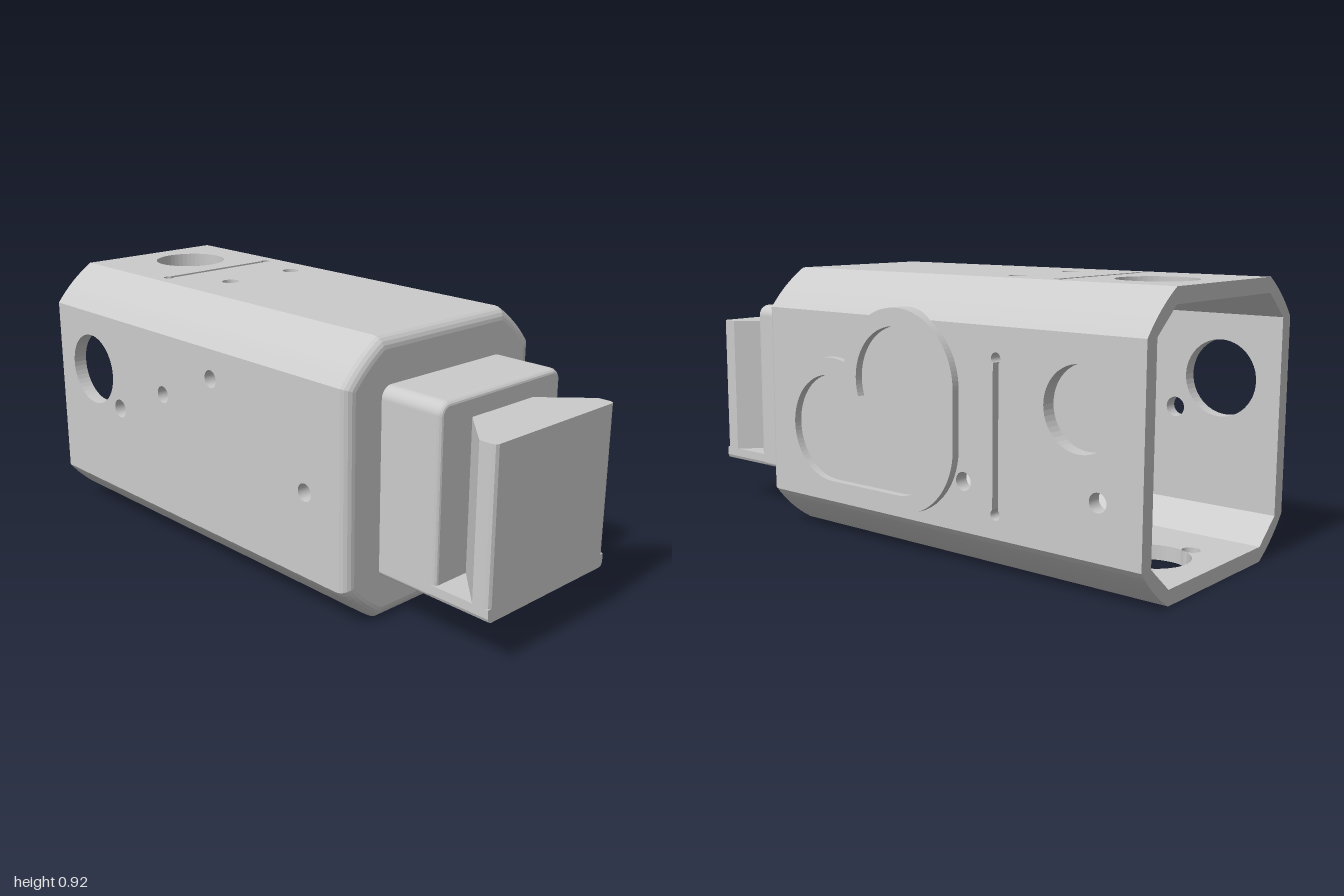
import * as THREE from 'three';

const grey = new THREE.MeshStandardMaterial({ color: 0xcccccc, side: THREE.DoubleSide });

const WALL = 0.05, BACK_END = -1, BEVEL = 0.04, FRONT_END = 0.565;
const TUBE_END = FRONT_END - BEVEL;
const CZ = 0.013, CY = 0.46;            // centre of the housing section
const HW = 0.43, HH = 0.46;             // half width and half height
const FW = 0.282, FH = 0.327;           // half extents of the flat faces

const extrude = (shape, depth, opts = {}) =>
  new THREE.ExtrudeGeometry(shape, { depth, bevelEnabled: false, curveSegments: 24, ...opts });

const polygon = (pts) => new THREE.Shape(pts.map(([x, y]) => new THREE.Vector2(x, y)));

const circle = (x, y, r) => new THREE.Path().absarc(x, y, r, 0, Math.PI * 2, true);

// thin slot with a round relief at each end
function slot(x, y0, y1, r = 0.018, w = 0.011) {
  const a = Math.asin(w / r), h = Math.PI / 2;
  const p = new THREE.Path();
  p.absarc(x, y1, r, -h + a, -h - a + 2 * Math.PI, false);
  p.absarc(x, y0, r, h + a, h - a + 2 * Math.PI, false);
  p.closePath();
  return p;
}

// flat wall running along x, with its openings
function panel(v0, v1, holes) {
  const s = polygon([[BACK_END, v0], [TUBE_END, v0], [TUBE_END, v1], [BACK_END, v1]]);
  s.holes.push(...holes);
  return extrude(s, WALL);
}

// shallow arc joining two neighbouring flat faces, first quadrant
function cornerArc(n = 8) {
  const a0 = Math.atan2(HH, FW), a1 = Math.atan2(FH, HW);
  const r0 = Math.hypot(FW, HH), r1 = Math.hypot(HW, FH);
  return Array.from({ length: n + 1 }, (_, i) => {
    const t = i / n, a = a0 + (a1 - a0) * t, r = r0 + (r1 - r0) * t;
    return [r * Math.cos(a), r * Math.sin(a)];
  });
}

// cloud outline made of two lobes and a rounded lower corner
function cloud(Type, r) {
  const ax = -0.09, ay = 0.58, bx = 0.215, by = 0.396;
  const d = Math.hypot(bx - ax, by - ay);
  const h = Math.sqrt(r * r - d * d / 4);
  const nx = (ax + bx) / 2 + (ay - by) / d * h;
  const ny = (ay + by) / 2 + (bx - ax) / d * h;
  const p = new Type();
  p.absarc(bx, by, r, -Math.PI / 2, Math.atan2(ny - by, nx - bx), false);
  p.absarc(ax, ay, r, Math.atan2(ny - ay, nx - ax), Math.PI, false);
  p.absarc(ax, by, r, Math.PI, Math.PI * 1.5, false);
  p.closePath();
  return p;
}

export function createModel() {
  const model = new THREE.Group();
  model.name = 'housing';
  const add = (name, geometry) => {
    const mesh = new THREE.Mesh(geometry, grey);
    mesh.name = name;
    model.add(mesh);
    return mesh;
  };

  // side walls
  const y0 = CY - FH, y1 = CY + FH;
  add('frontWall', panel(y0, y1, [
    circle(-0.785, 0.57, 0.13), circle(-0.617, 0.455, 0.034), circle(-0.345, 0.57, 0.03),
    circle(-0.073, 0.685, 0.03), circle(0.384, 0.42, 0.03),
  ]).translate(0, 0, CZ + HW - WALL));
  add('backWall', panel(y0, y1, [
    circle(-0.785, 0.57, 0.13), slot(-0.477, 0.21, 0.69),
    circle(-0.35, 0.295, 0.03), circle(-0.85, 0.31, 0.03),
  ]).translate(0, 0, CZ - HW));

  // top and bottom walls, drawn with v = -z
  const v0 = -CZ - FW, v1 = -CZ + FW;
  add('topWall', panel(v0, v1, [
    circle(-0.785, 0.022, 0.13), slot(-0.565, -0.24, 0.22),
    circle(-0.36, 0.165, 0.03), circle(-0.36, -0.12, 0.03),
  ]).rotateX(-Math.PI / 2).translate(0, CY + HH - WALL, 0));
  add('bottomWall', panel(v0, v1, [
    circle(-0.785, 0.022, 0.13), circle(-0.585, 0.022, 0.03),
    circle(-0.85, 0.165, 0.03), circle(-0.85, -0.12, 0.03),
  ]).rotateX(-Math.PI / 2).translate(0, CY - HH, 0));

  // four bowed corner walls and the closed, bevelled end
  const arc = cornerArc();
  const outline = [];
  for (const [sx, sy] of [[1, 1], [1, -1], [-1, -1], [-1, 1]]) {
    const flip = ([x, y]) => [x * sx - CZ, y * sy + CY];
    const outer = arc.map(flip);
    const section = [...outer, flip([HW - WALL, FH]), flip([FW, HH - WALL])];
    add('cornerWall', extrude(polygon(section), TUBE_END - BACK_END)
      .rotateY(Math.PI / 2).translate(BACK_END, 0, 0));
    outline.push(...(sx * sy > 0 ? outer : outer.reverse()));
  }
  add('endCap', extrude(polygon(outline), 0.03, {
    bevelEnabled: true, bevelSize: BEVEL, bevelThickness: BEVEL, bevelOffset: -BEVEL, bevelSegments: 5,
  }).rotateY(Math.PI / 2).translate(TUBE_END - 0.03, 0, 0));

  // raised cloud-shaped rim on the back
  const rim = cloud(THREE.Shape, 0.241);
  rim.holes.push(cloud(THREE.Path, 0.182));
  add('cloudRim', extrude(rim, 0.06).translate(0, 0, -0.445));

  // neck block, with larger rounding along the top
  const zA = -0.295, zB = 0.27, yA = 0.155, yB = 0.77, rt = 0.04, rb = 0.016, h = Math.PI / 2;
  const neck = new THREE.Shape();
  neck.absarc(zB - rb, yA + rb, rb, -h, 0, false);
  neck.absarc(zB - rt, yB - rt, rt, 0, h, false);
  neck.absarc(zA + rt, yB - rt, rt, h, 2 * h, false);
  neck.absarc(zA + rb, yA + rb, rb, 2 * h, 3 * h, false);
  neck.closePath();
  const nb = 0.015;
  add('neck', extrude(neck, 0.25, {
    bevelEnabled: true, bevelSize: nb, bevelThickness: 0.025, bevelOffset: -nb, bevelSegments: 4, curveSegments: 6,
  }).rotateY(Math.PI / 2).translate(0.797 - 0.025 - 0.25, 0, 0));

  // base plate under the tip
  const e = 0.015;
  const base = polygon([[zA, yA + e], [zA + e * 0.3, yA + e * 0.3], [zA + e, yA],
    [zB - e, yA], [zB - e * 0.3, yA + e * 0.3], [zB, yA + e], [zB, 0.2], [zA, 0.2]]);
  add('tipBase', extrude(base, 0.27).rotateY(Math.PI / 2).translate(0.73, 0, 0));

  // tip block, flaring outwards from the neck
  const tip = polygon([[0.77, -0.155], [0.797, -0.155], [0.94, zA], [1 - e, zA], [1 - e * 0.3, zA + e * 0.3],
    [1, zA + e], [1, zB - e], [1 - e * 0.3, zB - e * 0.3], [1 - e, zB], [0.94, zB], [0.797, 0.13], [0.77, 0.13]]);
  add('tipBlock', extrude(tip, 0.5).rotateX(-Math.PI / 2).translate(0, 0.2, 0));

  return model;
}
